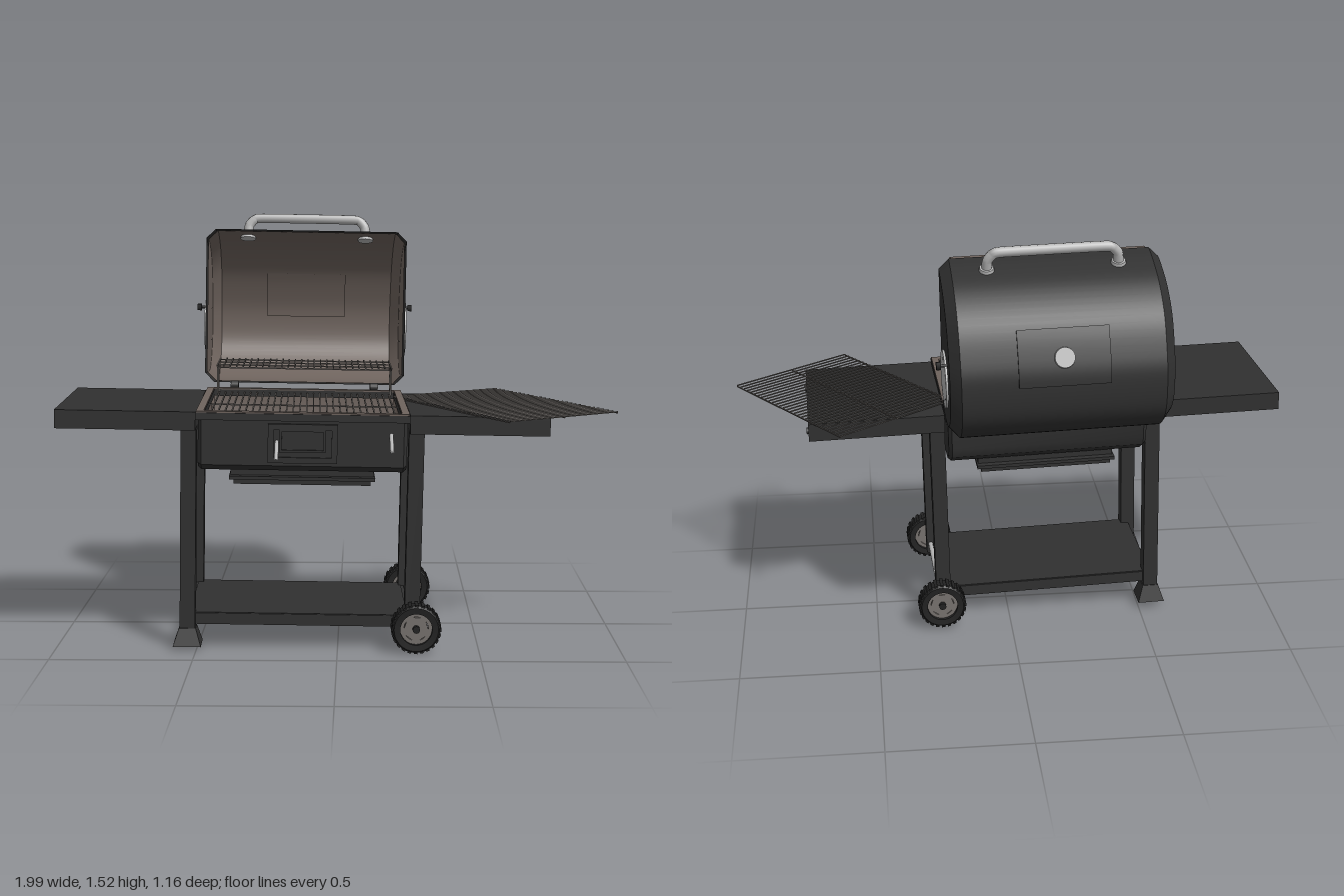
import * as THREE from 'three';
import { mergeGeometries, toCreasedNormals } from 'three/addons/utils/BufferGeometryUtils.js';

const mat = (name, color, side = THREE.FrontSide) => {
  const m = new THREE.MeshStandardMaterial({ color, side });
  m.name = name;
  return m;
};
const black = mat('blackMetal', 0x303030, THREE.DoubleSide);
const enamel = mat('taupeEnamel', 0x6e635d, THREE.DoubleSide);
const steel = mat('brightSteel', 0xb6b6b6);
const wire = mat('wireGrey', 0x5e5a57);
const rubber = mat('rubber', 0x222222);
const hubGrey = mat('hubGrey', 0x77726e);

const X0 = -0.146; // centre line of the grill body
const ZC = 0.097;

export function createModel() {
  const root = new THREE.Group();
  root.name = 'charcoalGrill';

  const add = (name, geo, m, x = 0, y = 0, z = 0, parent = root) => {
    const mesh = new THREE.Mesh(geo, m);
    mesh.name = name;
    mesh.position.set(x, y, z);
    parent.add(mesh);
    return mesh;
  };
  const boxGeo = (x0, x1, y0, y1, z0, z1) =>
    new THREE.BoxGeometry(x1 - x0, y1 - y0, z1 - z0).translate((x0 + x1) / 2, (y0 + y1) / 2, (z0 + z1) / 2);
  const box = (name, m, ...b) => add(name, boxGeo(...b), m);
  // rectangular frame lying flat, with bars of width t
  const frame = (name, m, x0, x1, y0, y1, z0, z1, t) => add(name, mergeGeometries([
    boxGeo(x0, x1, y0, y1, z0, z0 + t), boxGeo(x0, x1, y0, y1, z1 - t, z1),
    boxGeo(x0, x0 + t, y0, y1, z0 + t, z1 - t), boxGeo(x1 - t, x1, y0, y1, z0 + t, z1 - t),
  ]), m);
  const tube = (name, m, pts, r, seg = 32) => add(name, new THREE.TubeGeometry(
    new THREE.CatmullRomCurve3(pts.map(p => new THREE.Vector3(...p)), false, 'catmullrom', 0.3), seg, r, 10), m);

  // open shell: a (z, y) profile swept along x, shrunk about a pivot per ring, ends closed
  const shell = (profile, pivot, rings, caps = true) => {
    const pos = [], idx = [], n = profile.length;
    for (const [x, s] of rings)
      for (const p of profile) pos.push(X0 + x, pivot.y + (p.y - pivot.y) * s, pivot.x + (p.x - pivot.x) * s);
    for (let r = 0; r < rings.length - 1; r++)
      for (let i = 0; i < n - 1; i++) {
        const a = r * n + i, b = a + n;
        idx.push(a, b, a + 1, b, b + 1, a + 1);
      }
    if (caps) [0, rings.length - 1].forEach((r, k) => {
      const c = pos.length / 3;
      pos.push(X0 + rings[r][0], pivot.y, pivot.x);
      for (let i = 0; i < n - 1; i++) {
        const a = r * n + i;
        k ? idx.push(c, a + 1, a) : idx.push(c, a, a + 1);
      }
    });
    const g = new THREE.BufferGeometry();
    g.setAttribute('position', new THREE.Float32BufferAttribute(pos, 3));
    g.setIndex(idx);
    return toCreasedNormals(g, 0.45);
  };

  // wedge-shaped openings, and a disc cut by them
  const wedges = (r, n) => Array.from({ length: n }, (_, i) => {
    const a = i / n * Math.PI * 2 + Math.PI / 2, w = Math.PI / n * 0.55;
    const s = new THREE.Path();
    s.moveTo(Math.cos(a) * r * 0.22, Math.sin(a) * r * 0.22);
    s.absarc(0, 0, r * 0.74, a - w, a + w, false);
    s.closePath();
    return s;
  });
  const ventGeo = (r, n, depth) => {
    const s = new THREE.Shape().absarc(0, 0, r, 0, Math.PI * 2, false);
    s.holes.push(...wedges(r, n));
    return new THREE.ExtrudeGeometry(s, { depth, bevelEnabled: false, curveSegments: 16 });
  };
  const vent = (name, r, n, x, y, z, dir) => {
    const g = new THREE.Group();
    g.name = name;
    g.position.set(x, y, z);
    g.rotation.y = dir * Math.PI / 2;
    add('ventDisc', ventGeo(r, n, 0.008), steel, 0, 0, 0.002, g);
    add('ventBacking', new THREE.CircleGeometry(r * 0.8, 24), enamel, 0, 0, 0.002, g);
    root.add(g);
  };

  // wire rack centred on its own origin: wires along z, bars along x
  const rack = (name, w, d, n, bars, t, x, y, z) => {
    const parts = [];
    for (let i = 0; i < n; i++)
      parts.push(new THREE.BoxGeometry(t, t, d).translate((i / (n - 1) - 0.5) * w, 0, 0));
    for (let i = 0; i < bars; i++)
      parts.push(new THREE.BoxGeometry(w, t, t).translate(0, -t, (i / (bars - 1) - 0.5) * d));
    return add(name, mergeGeometries(parts), wire, x, y, z);
  };

  // ---- cart: legs, shelf, side tables
  for (const sx of [-1, 1]) for (const z of [0.33, -0.113]) {
    const x = X0 + sx * 0.397;
    box('leg', black, x - 0.027, x + 0.027, 0.06, 0.79, z - 0.027, z + 0.027);
    if (sx < 0) {
      const foot = new THREE.CylinderGeometry(0.042, 0.07, 0.062, 4).toNonIndexed().rotateY(Math.PI / 4);
      foot.computeVertexNormals();
      add('foot', foot, black, x, 0.042, z);
    }
  }
  frame('shelfFrame', black, X0 - 0.4, X0 + 0.39, 0.085, 0.125, -0.125, 0.34, 0.025);
  box('shelf', black, X0 - 0.39, X0 + 0.38, 0.108, 0.127, -0.12, 0.335);
  for (const s of [-1, 1]) {
    const a = X0 + s * 0.372, b = X0 + s * 0.858, x0 = Math.min(a, b), x1 = Math.max(a, b);
    box('sideTable', black, x0, x1, 0.836, 0.85, -0.186, 0.38);
    frame('sideTableLip', black, x0, x1, 0.785, 0.84, -0.186, 0.38, 0.02);
    frame('sideTableRunner', wire, x0 + 0.02, x1 - 0.02, 0.79, 0.796, -0.166, 0.36, 0.012);
    for (const z of [-0.12, 0.31])
      add('tableBolt', new THREE.CylinderGeometry(0.012, 0.012, 0.014, 10).rotateZ(Math.PI / 2), black, b, 0.8, z);
  }

  // ---- wheels and axle
  const axle = add('axle', new THREE.CylinderGeometry(0.009, 0.009, 0.6, 10), steel, 0.263, 0.0985, 0.1);
  axle.rotation.x = Math.PI / 2;
  for (const s of [-1, 1]) {
    const w = new THREE.Group();
    w.name = 'wheel';
    w.position.set(0.263, 0.0985, 0.1 + s * 0.295);
    const prof = [[0.056, -0.028], [0.078, -0.03], [0.085, -0.022], [0.085, 0.022], [0.078, 0.03], [0.056, 0.028], [0.056, -0.028]];
    const tire = new THREE.LatheGeometry(prof.map(p => new THREE.Vector2(...p)), 32).rotateX(Math.PI / 2);
    add('tire', toCreasedNormals(tire, 0.5), rubber, 0, 0, 0, w);
    const treads = Array.from({ length: 24 }, (_, i) =>
      new THREE.BoxGeometry(0.006, 0.012, 0.056).translate(0.085, 0, 0).rotateZ(i / 24 * Math.PI * 2));
    add('treads', mergeGeometries(treads), rubber, 0, 0, 0, w);
    add('hub', ventGeo(0.058, 5, 0.03), hubGrey, 0, 0, -0.015, w);
    add('hubCap', new THREE.CylinderGeometry(0.013, 0.013, 0.062, 12).rotateX(Math.PI / 2), rubber, 0, 0, 0, w);
    root.add(w);
  }

  // ---- firebox
  const v2 = list => list.map(p => new THREE.Vector2(...p));
  const tub = v2([[0.4, 0.845], [0.4, 0.67], [0.365, 0.648], [-0.13, 0.648], [-0.19, 0.685], [-0.206, 0.72], [-0.206, 0.845]]);
  const tubPivot = new THREE.Vector2(ZC, 0.845);
  add('firebox', shell(tub, tubPivot, [[-0.362, 0.96], [-0.35, 1], [0.35, 1], [0.362, 0.96]]), black);
  add('fireboxLiner', shell(tub, tubPivot, [[-0.352, 0.93], [-0.34, 0.965], [0.34, 0.965], [0.352, 0.93]]), enamel);
  box('fireboxFloor', black, X0 - 0.34, X0 + 0.34, 0.665, 0.672, -0.12, 0.36);
  frame('fireboxRim', black, X0 - 0.37, X0 + 0.37, 0.828, 0.853, -0.218, 0.412, 0.03);
  frame('fireboxLinerRim', enamel, X0 - 0.368, X0 + 0.368, 0.853, 0.858, -0.214, 0.408, 0.026);
  box('ashNeck', black, X0 - 0.25, X0 + 0.25, 0.622, 0.652, -0.12, 0.335);
  box('ashPan', black, X0 - 0.24, X0 + 0.24, 0.594, 0.622, -0.13, 0.345);
  box('ashPanLip', black, X0 - 0.255, X0 + 0.255, 0.612, 0.624, -0.145, 0.362);
  rack('charcoalGrate', 0.64, 0.5, 16, 4, 0.012, X0, 0.72, ZC + 0.01);
  rack('cookingGrate', 0.69, 0.58, 30, 3, 0.005, X0, 0.842, ZC);
  for (const s of [-1, 1]) vent('fireboxVent', 0.053, 4, X0 + s * 0.362, 0.715, 0.03, s);

  // front door and levers
  box('doorPlate', black, X0 - 0.1, X0 + 0.1, 0.69, 0.81, 0.398, 0.406);
  const door = frame('doorFrame', black, -0.12, 0.12, 0, 0.014, -0.068, 0.068, 0.02);
  door.rotation.x = Math.PI / 2;
  door.position.set(X0, 0.75, 0.4);
  const latch = frame('doorLatch', black, -0.08, 0.08, 0, 0.01, -0.04, 0.04, 0.008);
  latch.rotation.x = Math.PI / 2;
  latch.position.set(X0, 0.76, 0.404);
  tube('doorLever', steel, [[-0.235, 0.755, 0.4], [-0.235, 0.75, 0.435], [-0.235, 0.705, 0.5]], 0.007);
  tube('heightLever', steel, [[0.16, 0.785, 0.4], [0.16, 0.77, 0.42], [0.16, 0.74, 0.47], [0.16, 0.745, 0.565]], 0.007);

  // ---- open lid
  const arc = new THREE.SplineCurve(v2([[-0.27, 1.455], [-0.33, 1.437], [-0.44, 1.385], [-0.53, 1.3], [-0.58, 1.186],
    [-0.597, 1.097], [-0.585, 0.99], [-0.53, 0.915], [-0.44, 0.868], [-0.34, 0.862], [-0.235, 0.875]])).getPoints(50);
  const lidPivot = new THREE.Vector2(-0.2525, 1.165);
  const lidRings = [[-0.38, 0.88], [-0.345, 1], [0.345, 1], [0.38, 0.88]];
  add('lid', shell(arc, lidPivot, lidRings), black);
  const inner = [new THREE.Vector2(-0.236, 1.457), ...arc, new THREE.Vector2(-0.2, 0.877)];
  add('lidLiner', shell(inner, lidPivot.clone().add(new THREE.Vector2(0.034, 0)),
    lidRings.map(([x, s]) => [x * 0.975, s * 0.978])), enamel);

  // raised panel and thermometer on the back of the lid
  const strip = arc.filter(p => p.x < -0.5 && p.y > 1.08 && p.y < 1.285);
  add('lidPanel', shell(strip, lidPivot, [[-0.155, 1], [-0.155, 1.022], [0.155, 1.022], [0.155, 1]], false), black);
  add('lidPanelInside', shell(strip, lidPivot, [[-0.155, 0.955], [0.155, 0.955]], false), enamel);
  const gauge = add('thermometer', new THREE.CylinderGeometry(0.034, 0.036, 0.014, 24), steel, X0, 1.19, -0.59);
  gauge.rotation.x = -Math.PI / 2 + 0.35;

  // lid end vents, their knobs and inner openings
  for (const s of [-1, 1]) {
    vent('lidVent', 0.1, 5, X0 + s * 0.38, 1.078, -0.42, s);
    add('ventKnob', new THREE.CylinderGeometry(0.014, 0.014, 0.016, 6).rotateZ(Math.PI / 2), rubber, X0 + s * 0.41, 1.15, -0.42 - s * 0.065);
    add('ventKnobStem', new THREE.CylinderGeometry(0.006, 0.006, 0.03, 8).rotateZ(Math.PI / 2), rubber, X0 + s * 0.39, 1.15, -0.42 - s * 0.065);
    const holes = wedges(0.09, 5).map(p => new THREE.ShapeGeometry(new THREE.Shape(p.getPoints(8))));
    add('lidVentOpenings', mergeGeometries(holes), black, X0 + s * 0.367, 1.078, -0.42).rotation.y = s * Math.PI / 2;
    // hinge
    add('hingePin', new THREE.CylinderGeometry(0.017, 0.017, 0.03, 14).rotateZ(Math.PI / 2), black, X0 + s * 0.265, 0.866, -0.22);
    box('hingeBracket', black, X0 + s * 0.265 - 0.012, X0 + s * 0.265 + 0.012, 0.8, 0.866, -0.23, -0.212);
    // handle flange
    add('handleFlange', new THREE.CylinderGeometry(0.024, 0.03, 0.025, 16), steel, X0 + s * 0.225, 1.428, -0.345).rotation.x = -0.35;
  }
  const half = [[0.225, 1.425, -0.345], [0.222, 1.465, -0.354], [0.205, 1.487, -0.36], [0.17, 1.495, -0.363]];
  tube('lidHandle', steel, [...half.map(p => [X0 - p[0], p[1], p[2]]),
    ...half.slice().reverse().map(p => [X0 + p[0], p[1], p[2]])], 0.018, 60);

  // ---- warming rack and its posts
  rack('warmingRack', 0.65, 0.25, 28, 4, 0.005, X0, 0.955, -0.205);
  for (const s of [-1, 1]) for (const z of [-0.125, -0.19])
    box('rackPost', wire, X0 + s * 0.325 - 0.003, X0 + s * 0.325 + 0.003, 0.845, 0.955, z - 0.003, z + 0.003);

  // ---- loose grate resting across the side table
  rack('looseGrate', 0.675, 0.495, 29, 3, 0.004, 0.578, 0.856, 0.092).rotation.y = -0.995;

  // the whole grill stands slightly askew
  root.rotation.set(0.015, 0.03, -0.02);
  const model = new THREE.Group();
  model.name = 'grill';
  model.add(root);
  return model;
}
